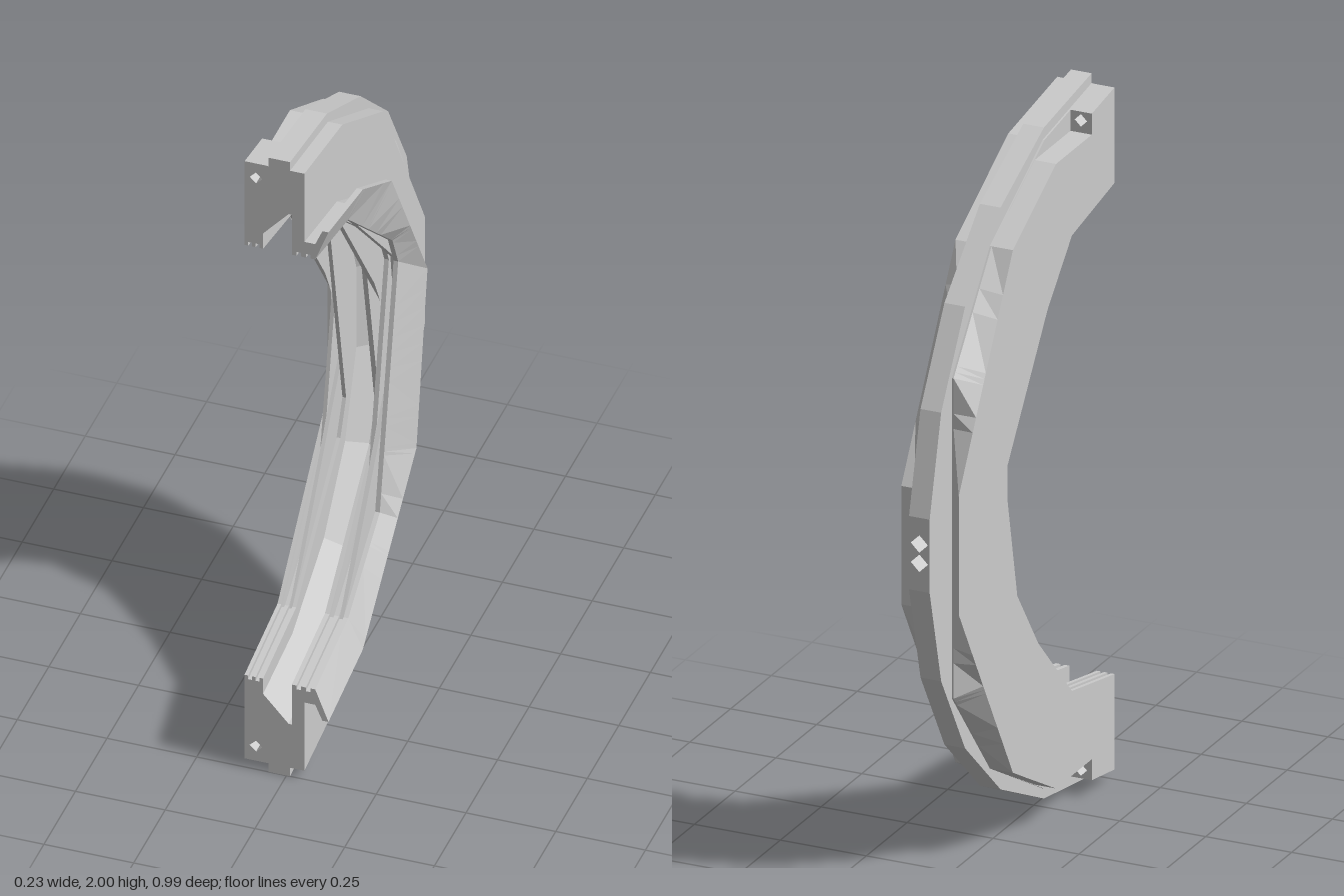
import * as THREE from 'three';

const material = new THREE.MeshStandardMaterial({ color: 0xcccccc, flatShading: true });
const thinMaterial = new THREE.MeshStandardMaterial({ color: 0xcccccc, flatShading: true, side: THREE.DoubleSide });

// Facet angles in degrees from the upper end of the arc to the lower one
const flipped = (angles) => angles.map((a) => 180 - a).reverse();
const mirrored = (half) => [...half, ...flipped(half)];
const OUTER = mirrored([0, 17, 34, 51, 67.5, 84]);
const FINE = mirrored([0, 18, 40, 60, 80]);
const COARSE = mirrored([0, 18, 40, 80]);
const SHOULDER = mirrored([0, 18, 40, 62]);
const LIP = mirrored([0, 20, 40, 80]);
const LIP_EDGE = [0, 20, 39, 80, 119, 160, 180];
const LIP_BACK = [0, 20, 39, 80, 119, 141, 160, 180];
const STEP = mirrored([0, 20, 40, 70]);
const BORE = mirrored([0, 22, 70]);
const BORE_HIGH = [0, 22, 88, 110, 158, 180];
const BORE_LOW = flipped(BORE_HIGH);
const BORE_LEAN = [0, 22, 61, 70, 133, 158, 180];
const BORE_LEAN_BACK = flipped(BORE_LEAN);

// Ribbed inner land: bands of alternating radius, each with its own facets
function land(x0, x1, bands) {
  const w = (x1 - x0) / bands.length;
  return bands.flatMap((angles, k) => [0, 1].map((e) => [x0 + (k + e) * w, k % 2 ? 0.712 : 0.70, angles]));
}

// Cross-section, counter-clockwise: x, radius, facet angles, optional pocket floor height
const POCKET_FLOOR = 0.89;
const profile = [
  ...land(-0.117, -0.065, [BORE, BORE_HIGH, BORE_LEAN, BORE_LOW, BORE_LEAN_BACK]),
  [-0.065, 0.75, FINE], [0.006, 0.83, FINE], [0.015, 0.83, FINE],
  ...land(0.015, 0.08, [BORE_LEAN_BACK, BORE_HIGH, BORE_LEAN, BORE_LOW, BORE_LEAN]),
  [0.117, 0.797, LIP_EDGE], [0.10, 0.797, LIP_BACK], [0.08, 0.75, LIP], [0.05, 0.75, STEP],
  [0.05, 0.972, COARSE], [0.01, 0.972, FINE],
  [0.01, 1, OUTER], [-0.05, 1, OUTER],
  [-0.05, 0.972, SHOULDER], [-0.055, 0.972, SHOULDER],
  [-0.055, 0.972, SHOULDER, POCKET_FLOOR], [-0.117, 0.972, COARSE, POCKET_FLOOR],
];
const NOTCH = profile.findIndex((p) => p[1] === 0.75);
const RIM = profile.findIndex((p) => p[1] === 1);

// Point on the chord polyline of one profile edge
function pointAt(i, angle) {
  const [x, radius, angles, floor = 2] = profile[i % profile.length];
  const k = Math.max(1, angles.findIndex((a) => a >= angle));
  const rad = Math.PI / 180;
  const half = (angles[k] - angles[k - 1]) / 2;
  const r = radius * Math.cos(half * rad) / Math.cos((angle - angles[k - 1] - half) * rad);
  const y = THREE.MathUtils.clamp(r * Math.cos(angle * rad), -floor, floor);
  return new THREE.Vector3(x, 1 + y, 0.5 - r * Math.sin(angle * rad));
}

function diamond(x, y, r) {
  return new THREE.Path([[r, 0], [0, r], [-r, 0], [0, -r]].map(([a, b]) => new THREE.Vector2(x + a, y + b)));
}

const shapeOf = (points) => new THREE.Shape(points.map(([x, y]) => new THREE.Vector2(x, y)));

function addMesh(parent, name, geometry, mat = material) {
  const mesh = new THREE.Mesh(geometry, mat);
  mesh.name = name;
  parent.add(mesh);
  return mesh;
}

// Half ring swept through all facet angles, leaving openings for drilled faces
function ringGeometry() {
  const angles = [...new Set(profile.flatMap((p) => p[2]))].sort((a, b) => a - b);
  const positions = [];
  for (let j = 0; j < angles.length - 1; j++) {
    const t0 = angles[j], t1 = angles[j + 1];
    for (let i = 0; i < profile.length; i++) {
      if ((i === NOTCH || i === RIM) && t0 >= 84 && t1 <= 96) continue;
      const a = pointAt(i, t0), b = pointAt(i + 1, t0);
      const c = pointAt(i + 1, t1), d = pointAt(i, t1);
      for (const p of [a, d, c, a, c, b]) positions.push(p.x, p.y, p.z);
    }
  }
  const geometry = new THREE.BufferGeometry();
  geometry.setAttribute('position', new THREE.Float32BufferAttribute(positions, 3));
  geometry.computeVertexNormals();
  return geometry;
}

const holeX = -0.02, holeHeights = [1.03, 0.975], holeRadius = 0.025;

// Depth of the flat mid-arc facet between profile points i and i + 1
function depthAt(i, x) {
  const a = pointAt(i, 90), b = pointAt(i + 1, 90);
  return a.z + (b.z - a.z) * (x - a.x) / (b.x - a.x);
}

function drilledFacet(i) {
  const corners = [[i, 84], [i + 1, 84], [i + 1, 96], [i, 96]].map(([k, t]) => pointAt(k, t));
  const shape = shapeOf(corners.map((p) => [p.x, p.y]));
  holeHeights.forEach((y) => shape.holes.push(diamond(holeX, y, holeRadius)));
  const geometry = new THREE.ShapeGeometry(shape);
  const pos = geometry.attributes.position;
  for (let k = 0; k < pos.count; k++) pos.setZ(k, depthAt(i, pos.getX(k)));
  geometry.computeVertexNormals();
  return geometry;
}

// Four-sided bore whose inner end follows the sloping notch
function boreGeometry(y) {
  const geometry = new THREE.CylinderGeometry(holeRadius, holeRadius, 0.2, 4, 1, true);
  geometry.rotateX(Math.PI / 2).translate(holeX, y, 0);
  const pos = geometry.attributes.position;
  for (let k = 0; k < pos.count; k++) {
    pos.setZ(k, depthAt(pos.getZ(k) > 0 ? NOTCH : RIM, pos.getX(k)));
  }
  geometry.computeVertexNormals();
  return geometry;
}

// Joint face and bolt block at one end; y is measured from the ring centre
function makeEnd() {
  const end = new THREE.Group();
  const boltHole = () => diamond(-0.085, 0.925, 0.018);

  const face = shapeOf(profile.filter((p, i) => i !== profile.length - 2));
  face.holes.push(boltHole());
  addMesh(end, 'jointFace', new THREE.ShapeGeometry(face)).position.z = 0.5;

  // The block stands on the pocket floor, its top sloping with the ring
  const section = shapeOf([[-0.117, POCKET_FLOOR], [-0.055, POCKET_FLOOR], [-0.055, 0.972], [-0.117, 0.972]]);
  section.holes.push(boltHole());
  const block = new THREE.ExtrudeGeometry(section, { depth: 0.139, bevelEnabled: false });
  block.translate(0, 0, 0.36);
  const pos = block.attributes.position;
  for (let k = 0; k < pos.count; k++) {
    if (pos.getY(k) > 0.96) pos.setY(k, 0.972 - (0.5 - pos.getZ(k)) * 0.158);
  }
  block.computeVertexNormals();
  addMesh(end, 'boltBlock', block);
  return end;
}

export function createModel() {
  const model = new THREE.Group();
  model.name = 'halfRing';
  addMesh(model, 'ringBody', ringGeometry());

  // Drilled facets and bores at the middle of the arc
  addMesh(model, 'drilledRim', drilledFacet(RIM), thinMaterial);
  addMesh(model, 'drilledNotch', drilledFacet(NOTCH), thinMaterial);
  holeHeights.forEach((y) => addMesh(model, 'radialBore', boreGeometry(y), thinMaterial));

  // Matching joint ends
  for (const side of [1, -1]) {
    const end = makeEnd();
    end.name = side > 0 ? 'upperEnd' : 'lowerEnd';
    end.position.y = 1;
    end.scale.y = side;
    model.add(end);
  }
  return model;
}
